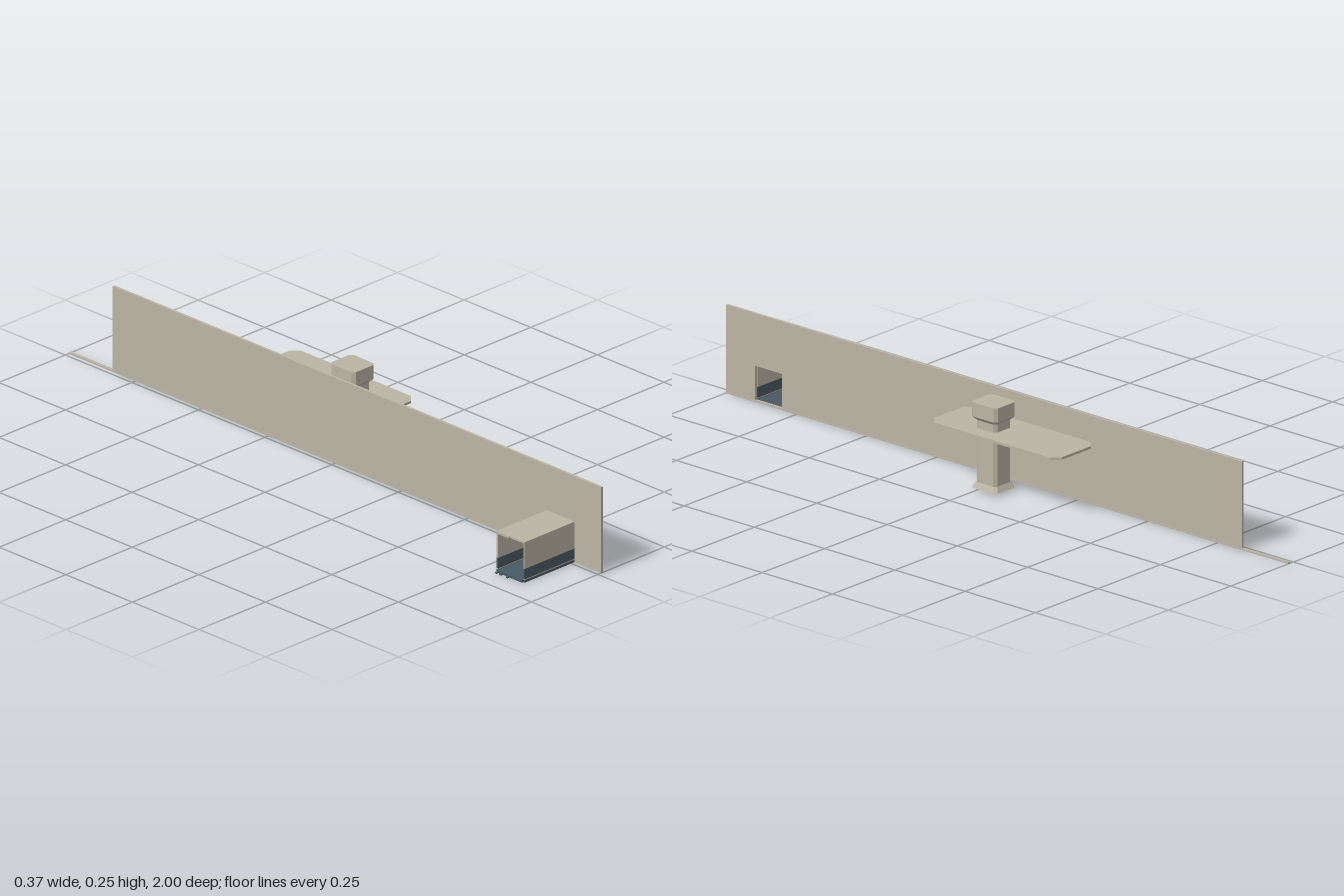
import * as THREE from 'three';

const stone = new THREE.MeshStandardMaterial({ color: 0xbbb5a5 });
stone.name = 'stone';
const slate = new THREE.MeshStandardMaterial({ color: 0x4a5b65 });
slate.name = 'slate';

// Box given by its minimum and maximum on each axis
function box(parent, name, mat, [x0, x1], [y0, y1], [z0, z1]) {
  const mesh = new THREE.Mesh(new THREE.BoxGeometry(x1 - x0, y1 - y0, z1 - z0), mat);
  mesh.position.set((x0 + x1) / 2, (y0 + y1) / 2, (z0 + z1) / 2);
  mesh.name = name;
  parent.add(mesh);
}

// Rectangle with cut corners, counterclockwise, half sizes a and b
function cutRect(a, b, c) {
  return [[a, c - b], [a, b - c], [a - c, b], [c - a, b],
    [-a, b - c], [-a, c - b], [c - a, -b], [a - c, -b]];
}

// Loft through cut rectangles stacked along y, closed at both ends
function loft(levels) {
  const rings = levels.map(([y, a, b, c]) =>
    cutRect(a, b, c).map(([x, z]) => [x, y, -z]));
  const pos = [];
  const tri = (...p) => p.forEach((v) => pos.push(...v));
  for (let i = 0; i < rings.length - 1; i++) {
    for (let j = 0; j < 8; j++) {
      const k = (j + 1) % 8;
      const [p, q, r, s] = [rings[i][j], rings[i][k], rings[i + 1][k], rings[i + 1][j]];
      tri(p, q, r);
      tri(p, r, s);
    }
  }
  const low = rings[0], high = rings[rings.length - 1];
  for (let j = 1; j < 7; j++) {
    tri(low[0], low[j + 1], low[j]);
    tri(high[0], high[j], high[j + 1]);
  }
  const geo = new THREE.BufferGeometry();
  geo.setAttribute('position', new THREE.Float32BufferAttribute(pos, 3));
  geo.computeVertexNormals();
  return geo;
}

export function createModel() {
  const model = new THREE.Group();
  model.name = 'wallWithTower';

  // Long wall with a square doorway, drawn in (-z, y) and extruded along x
  const outline = new THREE.Shape();
  outline.moveTo(-1, 0).lineTo(0.835, 0).lineTo(0.835, 0.25).lineTo(-1, 0.25).closePath();
  const door = new THREE.Path();
  door.moveTo(-0.897, 0.005).lineTo(-0.897, 0.102).lineTo(-0.801, 0.102).lineTo(-0.801, 0.005).closePath();
  outline.holes.push(door);
  const wallGeo = new THREE.ExtrudeGeometry(outline, { depth: 0.0075, bevelEnabled: false });
  wallGeo.rotateY(Math.PI / 2);
  const wall = new THREE.Mesh(wallGeo, stone);
  wall.position.x = 0.0125;
  wall.name = 'wall';
  model.add(wall);

  // Footing that runs on past the end of the wall
  box(model, 'footing', stone, [0.012, 0.0215], [0, 0.004], [-1, 1]);

  // Open tunnel behind the doorway
  const tunnel = new THREE.Group();
  tunnel.name = 'tunnel';
  model.add(tunnel);
  const span = [-0.175, 0.0125];
  box(tunnel, 'tunnelRoof', stone, span, [0.113, 0.118], [0.795, 0.9]);
  box(tunnel, 'tunnelFloor', slate, span, [0, 0.006], [0.795, 0.9]);
  for (const side of [[0.795, 0.8], [0.895, 0.9]]) {
    box(tunnel, 'tunnelUpperSide', stone, span, [0.04, 0.113], side);
    box(tunnel, 'tunnelLowerSide', slate, span, [0.01, 0.04], side);
    box(tunnel, 'tunnelTrim', stone, span, [0.007, 0.01], side);
    box(tunnel, 'tunnelBase', slate, span, [0.006, 0.007], side);
  }

  // Small lips and teeth at the open end
  box(tunnel, 'roofLip', stone, [-0.18, -0.175], [0.113, 0.118], [0.8, 0.845]);
  box(tunnel, 'floorLip', slate, [-0.18, -0.175], [0, 0.008], [0.8, 0.895]);
  for (const z of [0.804, 0.82, 0.845]) {
    box(tunnel, 'floorTooth', slate, [-0.188, -0.18], [0, 0.004], [z - 0.003, z + 0.003]);
  }

  // Tower with flared foot and wider cap
  const towerGeo = loft([
    [0.008, 0.041, 0.045, 0.008],
    [0.024, 0.033, 0.036, 0.008],
    [0.2, 0.033, 0.036, 0.008],
    [0.21, 0.0415, 0.046, 0.008],
    [0.25, 0.0415, 0.046, 0.008],
  ]);
  const tower = new THREE.Mesh(towerGeo, stone);
  tower.position.set(0.11, 0, -0.031);
  tower.name = 'tower';
  model.add(tower);

  // Platform around the tower
  const platform = new THREE.Mesh(
    loft([[0.17, 0.081, 0.2285, 0.023], [0.177, 0.081, 0.2285, 0.023]]), stone);
  platform.position.set(0.1055, 0, -0.094);
  platform.name = 'platform';
  model.add(platform);

  return model;
}
